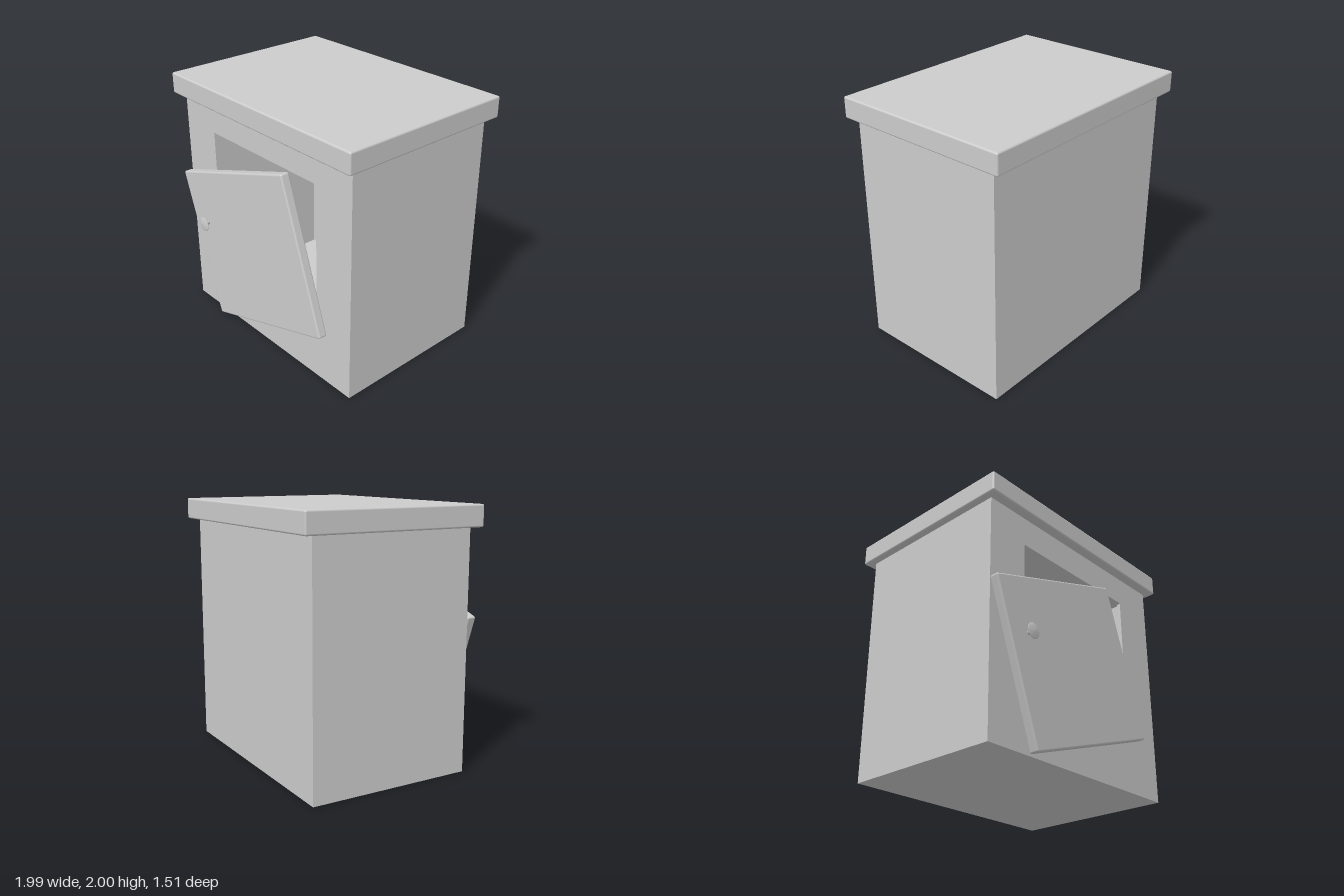
import * as THREE from 'three';
import { RoundedBoxGeometry } from 'three/addons/geometries/RoundedBoxGeometry.js';

const material = new THREE.MeshStandardMaterial({ color: 0xcccccc });

function add(parent, name, geometry, x = 0, y = 0, z = 0) {
  const mesh = new THREE.Mesh(geometry, material);
  mesh.name = name;
  mesh.position.set(x, y, z);
  parent.add(mesh);
  return mesh;
}

// Rectangle outline with slightly rounded corners
function trace(path, x0, y0, x1, y1, r) {
  path.moveTo(x0 + r, y0);
  path.lineTo(x1 - r, y0);
  path.quadraticCurveTo(x1, y0, x1, y0 + r);
  path.lineTo(x1, y1 - r);
  path.quadraticCurveTo(x1, y1, x1 - r, y1);
  path.lineTo(x0 + r, y1);
  path.quadraticCurveTo(x0, y1, x0, y1 - r);
  path.lineTo(x0, y0 + r);
  path.quadraticCurveTo(x0, y0, x0 + r, y0);
  return path;
}

// Rectangular panel pierced by a rectangular hole
function pierced(outer, hole, depth) {
  const [x0, y0, x1, y1] = outer;
  const shape = new THREE.Shape([[x0, y0], [x1, y0], [x1, y1], [x0, y1]].map(p => new THREE.Vector2(...p)));
  shape.holes.push(trace(new THREE.Path(), ...hole));
  return new THREE.ExtrudeGeometry(shape, { depth, bevelEnabled: false, curveSegments: 4 });
}

export function createModel() {
  const model = new THREE.Group();
  model.name = 'cabinet';

  // Hollow body: side walls, floor and ceiling in one ring, closed by back and front panels
  const W = 0.935, H = 1.838, T = 0.03, BACK = -0.673, FRONT = 0.622;
  const outer = [-W, 0, W, H];
  add(model, 'bodyShell', pierced(outer, [-W + T, T, W - T, H - T, 0.001], FRONT - BACK - 2 * T), 0, 0, BACK + T);
  add(model, 'backPanel', new THREE.BoxGeometry(2 * W, H, T), 0, H / 2, BACK + T / 2);
  add(model, 'frontPanel', pierced(outer, [-0.585, 0.52, 0.582, 1.607, 0.012], T), 0, 0, FRONT - T);

  // Overhanging lid
  add(model, 'lid', new RoundedBoxGeometry(1.985, 0.164, 1.455, 3, 0.014), 0, 1.918, -0.0275);

  // Door hanging crooked in front of the opening
  const door = new THREE.Group();
  door.name = 'door';
  door.position.set(-0.1225, 0.806, 0.661);
  door.rotation.z = Math.atan2(0.42, 1.245);
  model.add(door);
  add(door, 'doorPanel', new RoundedBoxGeometry(1.316, 1.236, 0.074, 3, 0.014));

  // Knob: thin stem and a lens-shaped disc
  const profile = [[0, 0.034], [0.014, 0.034], [0.014, 0.072], [0.035, 0.076], [0.055, 0.08], [0.059, 0.084],
    [0.055, 0.087], [0.03, 0.092], [0, 0.094]].map(p => new THREE.Vector2(...p));
  const knob = add(model, 'knob', new THREE.LatheGeometry(profile, 32), -0.635, 0.838, 0.661);
  knob.rotation.x = Math.PI / 2;

  return model;
}
